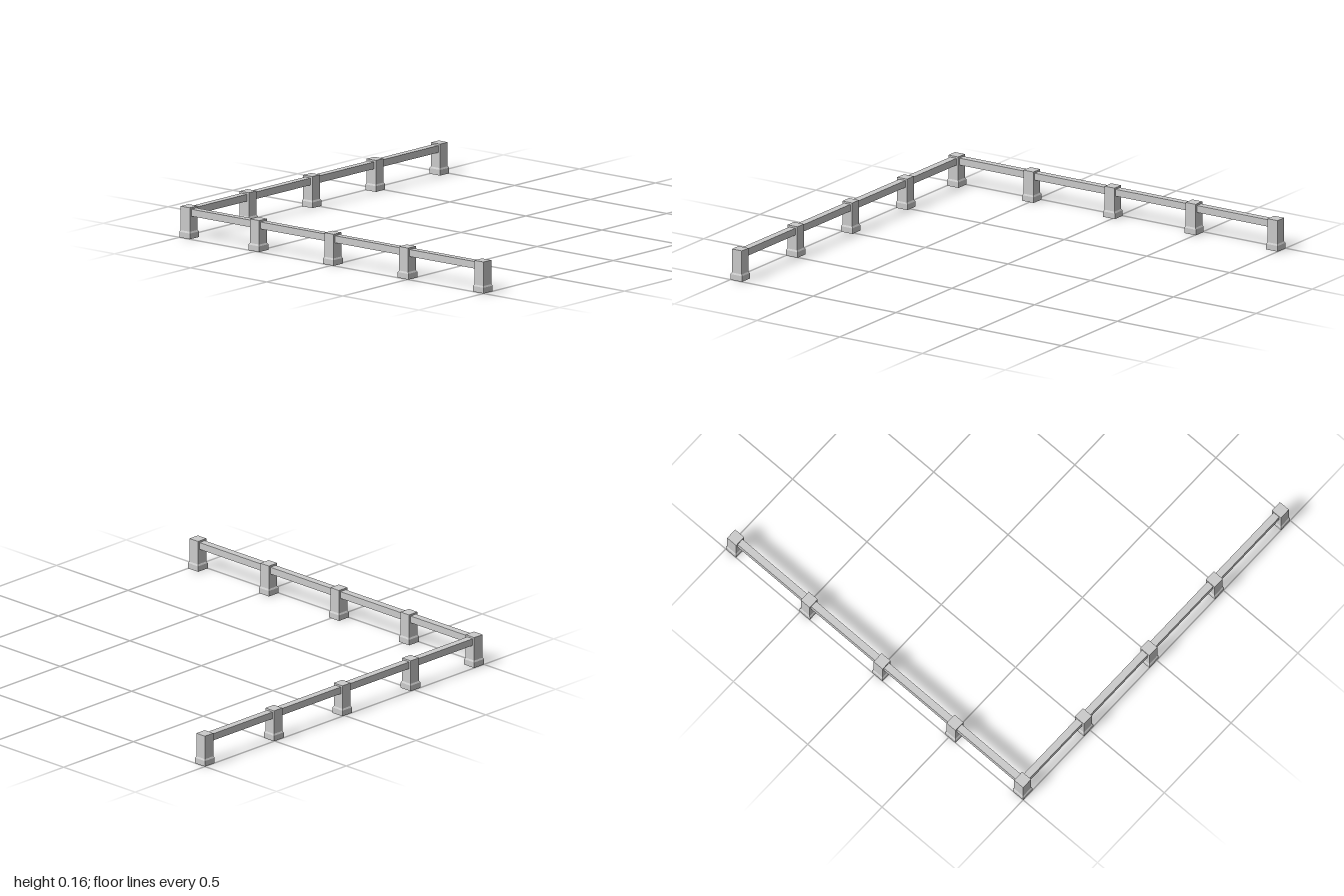
import * as THREE from 'three';

const material = new THREE.MeshStandardMaterial({ color: 0xcccccc, flatShading: true, side: THREE.DoubleSide });

// Square post with a flared foot, hollow underneath: [half width, height]
const profile = [[0.022, 0], [0.035, 0], [0.035, 0.029], [0.03, 0.037], [0.03, 0.16], [0, 0.16]]
  .map(([r, y]) => new THREE.Vector2(r * Math.SQRT2, y));
const postGeometry = new THREE.LatheGeometry(profile, 4).rotateY(Math.PI / 4);

const CORNER = -0.965;
const STOPS = [-0.51, -0.02, 0.47, 0.965];

function addPost(group, name, x, z) {
  const post = new THREE.Mesh(postGeometry, material);
  post.name = name;
  post.position.set(x, 0, z);
  group.add(post);
}

// Straight rail section between two neighbouring posts
function addRail(group, name, a, b, alongX) {
  const length = b - a;
  const size = alongX ? [length, 0.036, 0.038] : [0.038, 0.036, length];
  const rail = new THREE.Mesh(new THREE.BoxGeometry(...size), material);
  const mid = (a + b) / 2;
  rail.name = name;
  rail.position.set(alongX ? mid : CORNER, 0.133, alongX ? -CORNER : -mid);
  group.add(rail);
}

export function createModel() {
  const model = new THREE.Group();
  model.name = 'cornerFence';
  addPost(model, 'cornerPost', CORNER, -CORNER);

  // Two equal runs meeting at the front corner
  for (const alongX of [true, false]) {
    const run = new THREE.Group();
    run.name = alongX ? 'frontRun' : 'sideRun';
    let previous = CORNER;
    STOPS.forEach((stop, i) => {
      addPost(run, `post${i + 1}`, alongX ? stop : CORNER, alongX ? -CORNER : -stop);
      addRail(run, `rail${i + 1}`, previous + 0.028, stop - 0.028, alongX);
      previous = stop;
    });
    model.add(run);
  }
  return model;
}
